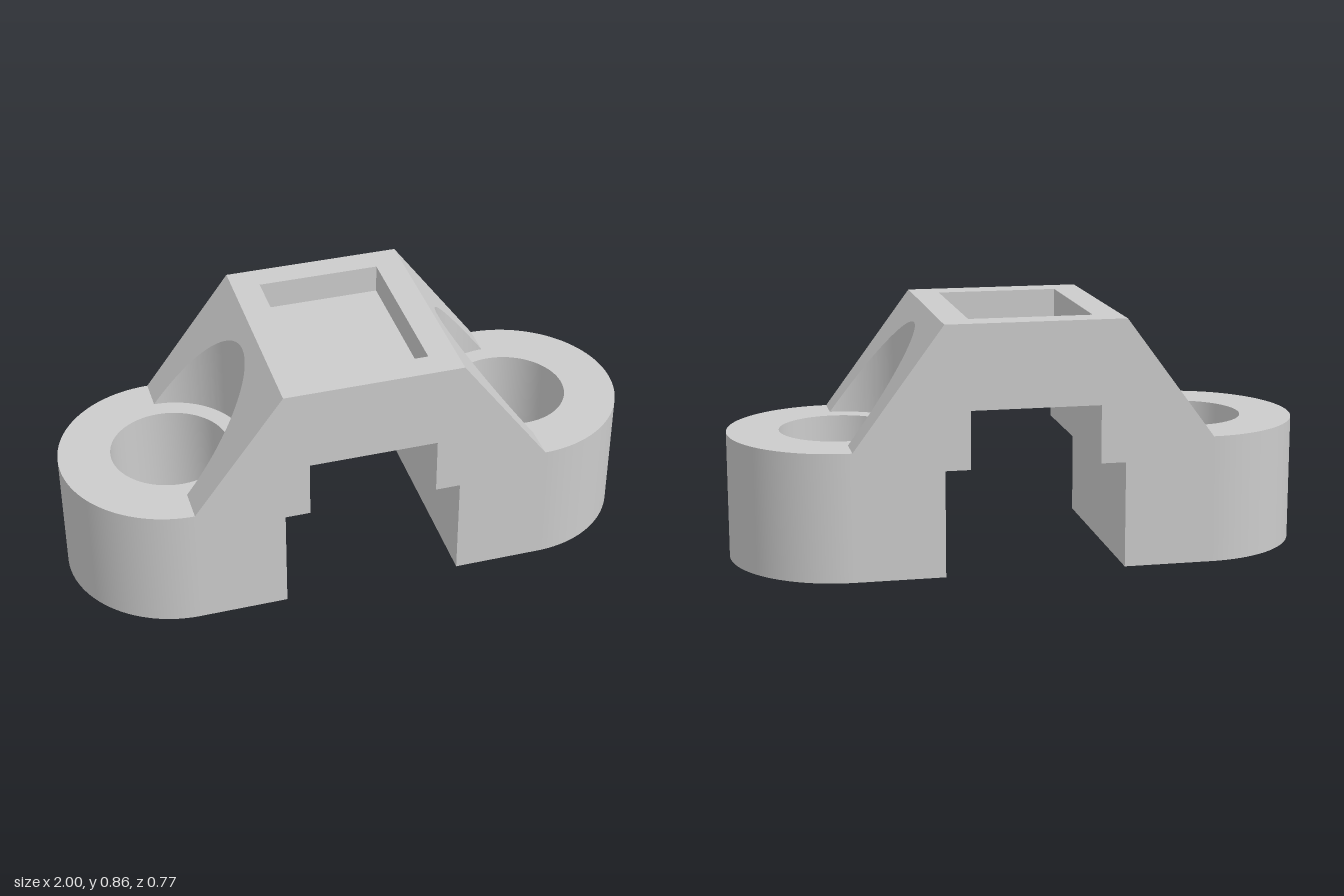
import * as THREE from 'three';
import { toCreasedNormals } from 'three/addons/utils/BufferGeometryUtils.js';

const R = 0.385;         // half depth and lug radius
const C = 0.615;         // x of the bolt holes
const INNER = 0.308;     // half width of the slot and of the top
const HOLE = 0.205;      // bolt hole radius
const BORE = 0.267;      // clearance radius cut into the slopes
const LUG_TOP = 0.44, TOP = 0.855, POCKET_FLOOR = 0.755;

const material = new THREE.MeshStandardMaterial({ color: 0xcccccc });

function mesh(name, geometry) {
  const m = new THREE.Mesh(toCreasedNormals(geometry, 0.5), material);
  m.name = name;
  return m;
}

// Extrude a plan-view shape upwards from y0 to y1
function extrudeUp(shape, y0, y1) {
  return new THREE.ExtrudeGeometry(shape, { depth: y1 - y0, bevelEnabled: false, curveSegments: 48 })
    .rotateX(-Math.PI / 2).translate(0, y0, 0);
}

function rectangle(Type, x, z) {
  const s = new Type();
  s.moveTo(-x, -z).lineTo(x, -z).lineTo(x, z).lineTo(-x, z).closePath();
  return s;
}

// Round-ended lug with a through hole
function lugGeometry() {
  const s = new THREE.Shape();
  s.moveTo(INNER, -R).lineTo(C, -R);
  s.absarc(C, 0, R, -Math.PI / 2, Math.PI / 2, false);
  s.lineTo(INNER, R).closePath();
  s.holes.push(new THREE.Path().absarc(C, 0, HOLE, 0, Math.PI * 2, true));
  return extrudeUp(s, 0, LUG_TOP);
}

// Sloped shoulder with a cylindrical clearance cut above the hole
function shoulderGeometry() {
  const s = new THREE.Shape();
  s.moveTo(INNER, -R).lineTo(C, -R).lineTo(C, -BORE);
  s.absarc(C, 0, BORE, -Math.PI / 2, Math.PI / 2, true);
  s.lineTo(C, R).lineTo(INNER, R).closePath();
  const g = extrudeUp(s, LUG_TOP, TOP);
  const p = g.attributes.position;
  for (let i = 0; i < p.count; i++) {
    if (p.getY(i) > LUG_TOP + 0.01) {
      p.setY(i, THREE.MathUtils.mapLinear(p.getX(i), INNER, C, TOP, LUG_TOP));
    }
  }
  return g;
}

// Bridge spanning the stepped slot
function bridgeGeometry() {
  const s = new THREE.Shape([
    [-INNER, 0.365], [-0.222, 0.365], [-0.222, 0.565], [0.222, 0.565],
    [0.222, 0.365], [INNER, 0.365], [INNER, POCKET_FLOOR], [-INNER, POCKET_FLOOR],
  ].map(([x, y]) => new THREE.Vector2(x, y)));
  return new THREE.ExtrudeGeometry(s, { depth: 2 * R, bevelEnabled: false }).translate(0, 0, -R);
}

export function createModel() {
  const model = new THREE.Group();
  model.name = 'clampBracket';

  model.add(mesh('bridge', bridgeGeometry()));

  // Rim around the rectangular pocket
  const rim = rectangle(THREE.Shape, INNER, R);
  rim.holes.push(rectangle(THREE.Path, 0.212, 0.29));
  model.add(mesh('pocketRim', extrudeUp(rim, POCKET_FLOOR, TOP)));

  // The two identical ends
  for (const [side, turn] of [['left', 0], ['right', Math.PI]]) {
    const end = new THREE.Group();
    end.name = side + 'End';
    end.add(mesh(side + 'Lug', lugGeometry()), mesh(side + 'Shoulder', shoulderGeometry()));
    end.rotation.y = turn;
    model.add(end);
  }
  return model;
}
